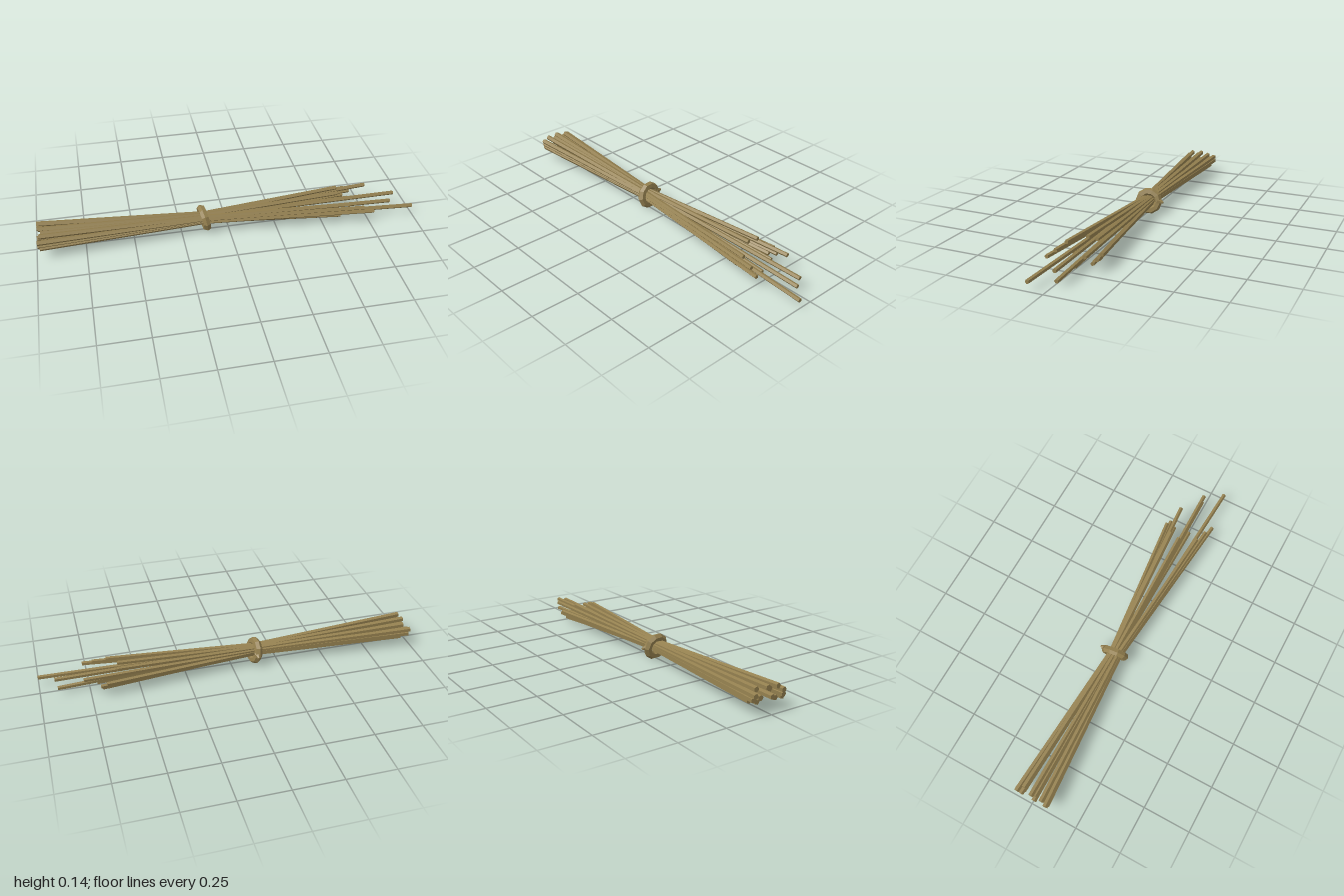
import * as THREE from 'three';

const straw = new THREE.MeshStandardMaterial({ color: 0x94804f, flatShading: true });

// Each stalk: butt x, y, z, then tip x, y, z
const STALKS = [
  [-0.98, 0.082, -0.088, 0.67, 0.080, -0.117],
  [-0.94, 0.065, -0.078, 0.70, 0.064, -0.108],
  [-0.99, 0.102, -0.084, 0.78, 0.105, -0.088],
  [-0.99, 0.090, -0.060, 0.69, 0.036, -0.080],
  [-0.96, 0.120, -0.056, 0.61, 0.125, -0.064],
  [-0.97, 0.066, -0.060, 0.66, 0.050, -0.096],
  [-0.98, 0.124, -0.006, 0.60, 0.125, -0.012],
  [-0.97, 0.112, 0.012, 0.92, 0.083, -0.014],
  [-0.93, 0.058, 0.000, 0.71, 0.015, 0.003],
  [-0.99, 0.080, 0.012, 0.91, 0.030, -0.016],
  [-0.99, 0.080, 0.076, 1.00, 0.049, 0.076],
  [-0.98, 0.066, 0.078, 0.77, 0.070, 0.112],
  [-0.97, 0.062, 0.046, 0.60, 0.034, 0.064],
  [-0.98, 0.120, 0.052, 0.65, 0.103, 0.074],
  [-0.99, 0.100, 0.078, 0.72, 0.085, 0.094],
];

// Tapered rod between two points
function rod(a, b, rA, rB, sides) {
  const dir = b.clone().sub(a);
  const mesh = new THREE.Mesh(new THREE.CylinderGeometry(rB, rA, dir.length(), sides), straw);
  mesh.position.copy(a).add(b).multiplyScalar(0.5);
  mesh.quaternion.setFromUnitVectors(new THREE.Vector3(0, 1, 0), dir.normalize());
  return mesh;
}

export function createModel() {
  const group = new THREE.Group();

  // Stalks squeezed together at the binding and fanning out on both sides
  STALKS.forEach(([ax, ay, az, bx, by, bz], i) => {
    const butt = new THREE.Vector3(ax, ay, az);
    const waist = new THREE.Vector3(-0.128, 0.077 + 0.45 * (ay - 0.092), -0.003 + 0.3 * az);
    const tip = new THREE.Vector3(bx, by, bz);
    const stalk = new THREE.Group();
    stalk.name = `stalk${i + 1}`;
    stalk.add(rod(butt, waist, 0.014, 0.013, 5), rod(waist, tip, 0.013, 0.011, 5));
    group.add(stalk);
  });

  // Tilted loop tying the bundle, drawn to a peak at the back
  const points = [];
  for (let i = 0; i < 10; i++) {
    const t = (i / 10) * Math.PI * 2;
    points.push(new THREE.Vector3(
      -0.128 - 0.009 * Math.sin(t) + 0.006 * Math.cos(t),
      0.071 + 0.05 * Math.sin(t),
      -0.008 + 0.054 * Math.cos(t)
    ));
  }
  const loop = new THREE.CatmullRomCurve3(points, true);
  const binding = new THREE.Mesh(new THREE.TubeGeometry(loop, 10, 0.021, 6, true), straw);
  binding.name = 'binding';
  group.add(binding);

  // Small tucked end at the back of the binding
  const tuck = rod(new THREE.Vector3(-0.128, 0.075, -0.06), new THREE.Vector3(-0.13, 0.072, -0.092), 0.018, 0.006, 6);
  tuck.name = 'bindingTuck';
  group.add(tuck);

  return group;
}
